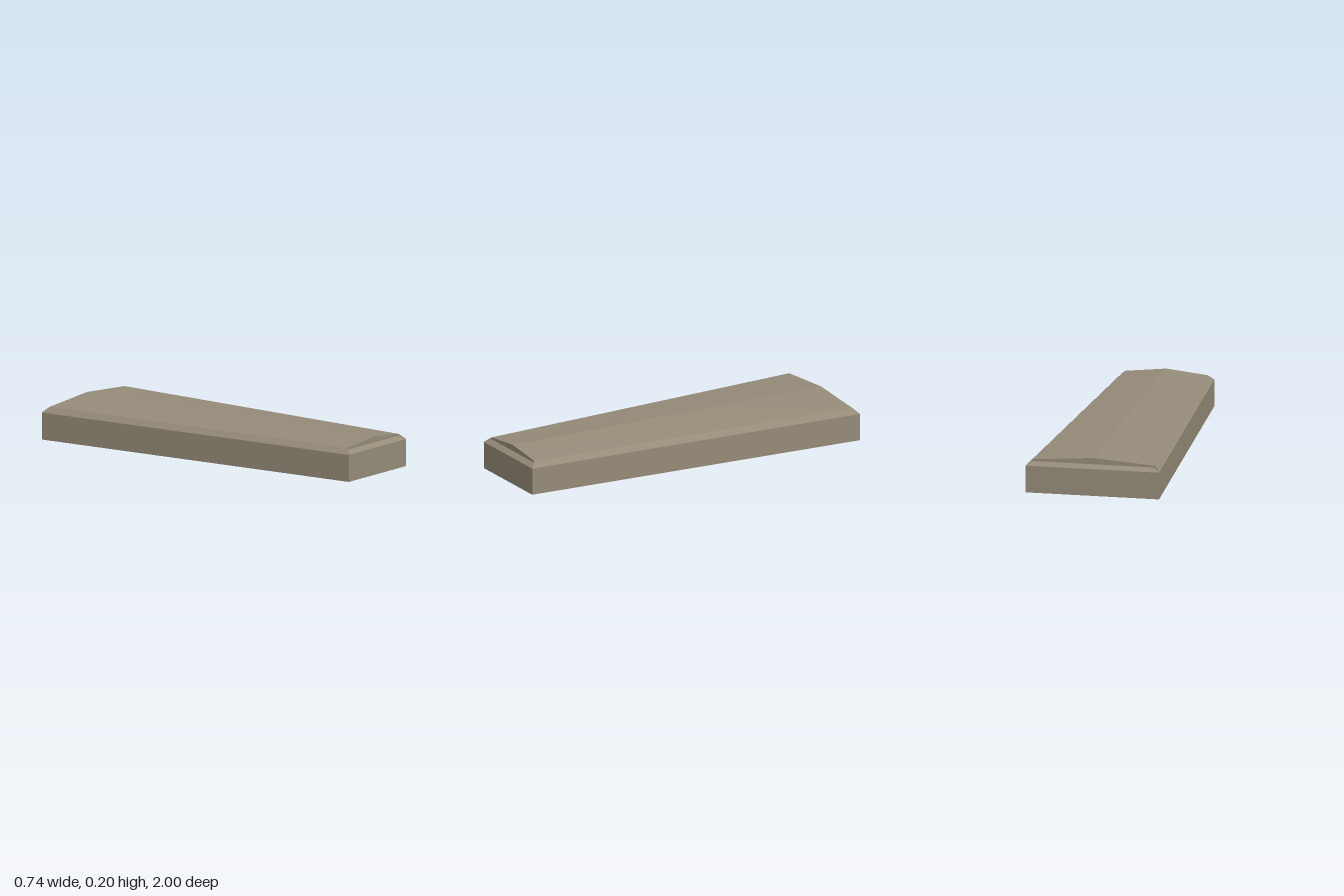
import * as THREE from 'three';

const BEVEL = 0.03;
const WALL_Y = 0.15, EAVE_Y = 0.18, RIDGE_Y = 0.205, STEP_Y = 0.17;

// Half width of the tapered body at depth z
const halfWidth = (z) => 0.315 - 0.055 * z;

// Flat-shaded mesh from polygons, each a counter-clockwise fan of [x, y, z] corners
function panel(name, polygons, material) {
  const positions = [];
  for (const p of polygons)
    for (let i = 1; i < p.length - 1; i++) positions.push(...p[0], ...p[i], ...p[i + 1]);
  const geometry = new THREE.BufferGeometry();
  geometry.setAttribute('position', new THREE.Float32BufferAttribute(positions, 3));
  geometry.computeVertexNormals();
  const mesh = new THREE.Mesh(geometry, material);
  mesh.name = name;
  return mesh;
}

export function createModel() {
  const group = new THREE.Group();
  group.name = 'taperedCover';
  const stone = new THREE.MeshStandardMaterial({
    name: 'warmGrey', color: 0x958b79, side: THREE.DoubleSide, flatShading: true,
  });

  const zIn = 1 - BEVEL;

  // Long sides: wall, bevel and roof slope, mirrored in x
  for (const s of [1, -1]) {
    const side = s > 0 ? 'left' : 'right';
    const turn = (p) => (s > 0 ? p : p.slice().reverse());
    const wall = (z, y) => [s * halfWidth(z), y, z];
    const eave = (z) => [s * (halfWidth(Math.sign(z)) - BEVEL), EAVE_Y, z];
    const step = (z) => [s * (halfWidth(Math.sign(z)) - BEVEL), STEP_Y, z];
    const midEave = [s * (halfWidth(0) - BEVEL), EAVE_Y, 0];
    const ridge = (z) => [0, RIDGE_Y, z];

    group.add(panel(side + 'Wall',
      [turn([wall(1, 0), wall(-1, 0), wall(-1, WALL_Y), wall(1, WALL_Y)])], stone));
    group.add(panel(side + 'Bevel', [
      turn([wall(1, WALL_Y), wall(-1, WALL_Y), eave(-zIn), eave(zIn)]),
      turn([wall(1, WALL_Y), eave(zIn), step(zIn)]),
      turn([wall(-1, WALL_Y), step(-zIn), eave(-zIn)]),
    ], stone));
    group.add(panel(side + 'RoofSlope', [
      turn([ridge(zIn), eave(zIn), midEave, ridge(0)]),
      turn([ridge(0), midEave, eave(-zIn), ridge(-zIn)]),
    ], stone));
  }

  // Short ends: wall, bevel and low gable
  for (const e of [1, -1]) {
    const end = e > 0 ? 'front' : 'back';
    const w = halfWidth(e), v = w - BEVEL, zi = e * zIn;
    const turn = (p) => (e > 0 ? p : p.slice().reverse());
    group.add(panel(end + 'Wall',
      [turn([[-w, 0, e], [w, 0, e], [w, WALL_Y, e], [-w, WALL_Y, e]])], stone));
    group.add(panel(end + 'Bevel',
      [turn([[-w, WALL_Y, e], [w, WALL_Y, e], [v, STEP_Y, zi], [-v, STEP_Y, zi]])], stone));
    group.add(panel(end + 'Gable',
      [turn([[-v, STEP_Y, zi], [v, STEP_Y, zi], [v, EAVE_Y, zi], [0, RIDGE_Y, zi], [-v, EAVE_Y, zi]])], stone));
  }
  return group;
}
